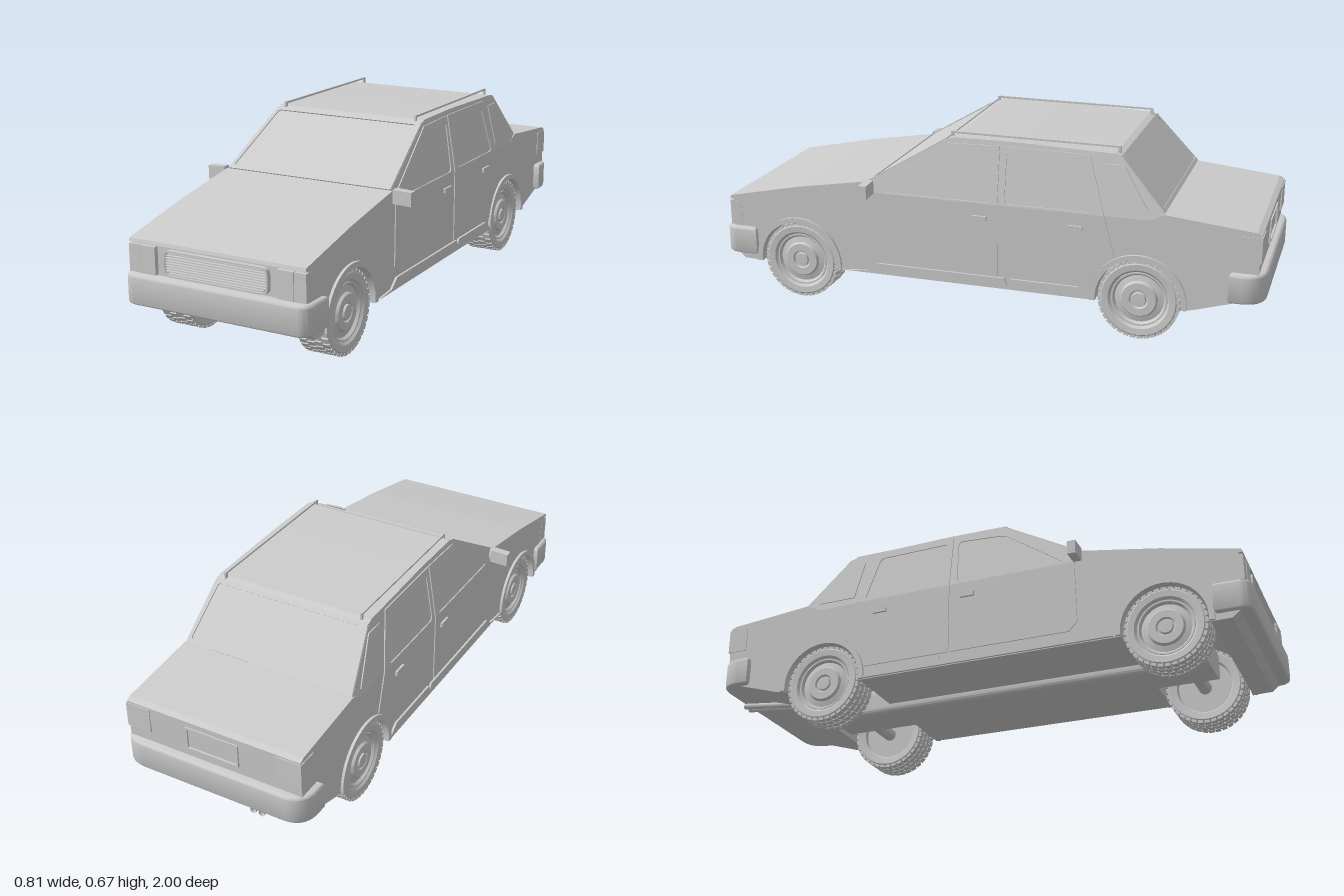
import * as THREE from 'three';
import { mergeGeometries, toCreasedNormals } from 'three/addons/utils/BufferGeometryUtils.js';

const mat = new THREE.MeshStandardMaterial({ color: 0xcccccc });
const BELT = 0.44, LEAN = 0.163, HALF = 0.331;
const AXLES = [0.705, -0.57], WHEEL_Y = 0.144;

const mesh = (name, geo, parent) => {
  const m = new THREE.Mesh(geo, mat);
  m.name = name;
  parent.add(m);
  return m;
};
const path = (pts, Type = THREE.Shape) => new Type(pts.map(([a, b]) => new THREE.Vector2(a, b)));
const box = (w, h, d, x, y, z) => new THREE.BoxGeometry(w, h, d).translate(x, y, z);

// Flat plate in the x-y plane, centred on its thickness
function plate(pts, depth, hole) {
  const shape = path(pts);
  if (hole) shape.holes.push(path(hole, THREE.Path));
  return new THREE.ExtrudeGeometry(shape, { depth, bevelEnabled: false }).translate(0, 0, -depth / 2);
}
// Plate drawn in side elevation (z, y), thickness along x
const sidePlate = (pts, depth, hole) => plate(pts, depth, hole).rotateY(-Math.PI / 2);

// Lean everything above the belt line inwards, towards the roof
function lean(geo, side) {
  const p = geo.attributes.position;
  for (let i = 0; i < p.count; i++) {
    const s = side || Math.sign(p.getX(i));
    p.setX(i, p.getX(i) - s * Math.max(0, p.getY(i) - BELT) * LEAN);
  }
  geo.computeVertexNormals();
  return geo;
}
// Arc around an axle, in side elevation
function arc(z, r, from, to, n = 20) {
  return Array.from({ length: n + 1 }, (_, i) => {
    const a = from + (to - from) * i / n;
    return [z + r * Math.cos(a), WHEEL_Y + r * Math.sin(a)];
  });
}
// Polygon with rounded corners
function rounded(pts, r) {
  const v = pts.map(([x, y]) => new THREE.Vector2(x, y));
  return v.flatMap((c, i) => {
    const toward = (q) => c.clone().add(q.clone().sub(c).setLength(r));
    const a = toward(v[(i + v.length - 1) % v.length]), b = toward(v[(i + 1) % v.length]);
    return new THREE.QuadraticBezierCurve(a, c, b).getPoints(5).map((q) => [q.x, q.y]);
  });
}
const rect = (x0, x1, y0, y1) => [[x0, y0], [x1, y0], [x1, y1], [x0, y1]];

function bumper(halfWidth, height, length, corner) {
  const b = 0.012, w = halfWidth - b, d = length - b;
  const s = new THREE.Shape();
  s.moveTo(-w, 0);
  s.lineTo(-w, d - corner);
  s.quadraticCurveTo(-w, d, -w + corner, d);
  s.lineTo(w - corner, d);
  s.quadraticCurveTo(w, d, w, d - corner);
  s.lineTo(w, 0);
  const geo = new THREE.ExtrudeGeometry(s, {
    depth: height - 2 * b, bevelSize: b, bevelThickness: b, bevelSegments: 4, curveSegments: 10,
  });
  return toCreasedNormals(geo.translate(0, 0, b).rotateX(Math.PI / 2), 0.6);
}

function wheel(side) {
  const g = new THREE.Group();
  const lathe = (pts) => toCreasedNormals(
    new THREE.LatheGeometry(pts.map(([r, y]) => new THREE.Vector2(r, y)), 48).rotateZ(-side * Math.PI / 2), 0.5);
  mesh('tyre', lathe([[0, -0.042], [0.098, -0.042], [0.104, -0.052], [0.13, -0.056], [0.138, -0.05],
    [0.138, 0.05], [0.13, 0.056], [0.108, 0.054], [0.1, 0.046], [0.098, 0.034], [0, 0.034]]), g);
  mesh('rim', lathe([[0.099, 0.03], [0.099, 0.047], [0.093, 0.047], [0.086, 0.037], [0.066, 0.042],
    [0.06, 0.051], [0.034, 0.051], [0.03, 0.045], [0.026, 0.045], [0.024, 0.053], [0, 0.054]]), g);
  // Four rows of tread blocks
  const blocks = [];
  for (let row = 0; row < 4; row++) {
    for (let i = 0; i < 36; i++) {
      blocks.push(box(0.024, 0.01, 0.019, (row - 1.5) * 0.028, 0.1385, 0)
        .rotateX((i + (row % 2) * 0.3) * Math.PI / 18));
    }
  }
  mesh('tread', mergeGeometries(blocks), g);
  return g;
}

export function createModel() {
  const car = new THREE.Group();
  car.name = 'car';

  // Lower body with wheel arches cut through
  const arch = (z, r) => arc(z, r, Math.PI + 0.1, -0.1);
  mesh('lowerBody', sidePlate([
    [0.965, 0.36], [0.98, 0.362], [0.976, 0.373], [0.7, 0.432], [0.42, 0.48], [0.38, BELT], [-0.6, BELT],
    [-0.65, 0.465], [-0.96, 0.434], [-0.978, 0.425], [-0.97, 0.2], [-0.76, 0.135],
    ...arch(AXLES[1], 0.153), ...arch(AXLES[0], 0.153), [0.93, 0.13], [0.965, 0.16],
  ], HALF * 2), car);

  // Cabin
  mesh('cabin', lean(sidePlate([
    [0.42, 0.48], [0.13, 0.653], [0.11, 0.66], [-0.1, 0.662], [-0.47, 0.652], [-0.49, 0.645],
    [-0.65, 0.465], [-0.6, BELT], [0.38, BELT],
  ], HALF * 2)), car);

  // Windscreen and rear window surrounds
  const screen = (name, z0, y0, z1, y1) => {
    const h = Math.hypot(z1 - z0, y1 - y0);
    const w0 = HALF - (y0 - BELT) * LEAN, w1 = HALF - (y1 - BELT) * LEAN;
    const quad = (e) => [[-w0 + e, e], [w0 - e, e], [w1 - e, h - e], [-w1 + e, h - e]];
    const geo = plate(quad(0.001), 0.008, rounded(quad(0.016), 0.012));
    mesh(name, geo, car).position.set(0, y0, z0);
    geo.rotateX(Math.atan2(z1 - z0, y1 - y0));
  };
  screen('windscreenFrame', 0.42, 0.48, 0.13, 0.653);
  screen('rearWindowFrame', -0.65, 0.465, -0.49, 0.645);

  // Sides
  for (const s of [1, -1]) {
    const sideGroup = new THREE.Group();
    sideGroup.name = s > 0 ? 'leftSide' : 'rightSide';
    car.add(sideGroup);
    const panel = (name, pts, hole, out = 0.004) =>
      mesh(name, lean(sidePlate(pts, out * 2, hole).translate(s * HALF, 0, 0), s), sideGroup);

    panel('frontDoor', [[0.4, BELT], [0.405, 0.21], [0.375, 0.178], [-0.064, 0.178], [-0.064, BELT]]);
    panel('frontWindowFrame', [[0.4, BELT], [0.395, 0.462], [0.125, 0.64], [-0.064, 0.645], [-0.064, BELT]],
      rounded([[0.365, 0.445], [0.13, 0.617], [-0.05, 0.628], [-0.042, 0.445]], 0.02));
    panel('rearDoor', [[-0.072, BELT], [-0.072, 0.178], [-0.39, 0.178],
      ...arc(AXLES[1], 0.172, 0.2, 1.05, 8), [-0.445, BELT]]);
    panel('rearWindowFrameSide', [[-0.072, BELT], [-0.072, 0.645], [-0.385, 0.642], [-0.445, BELT]],
      rounded([[-0.09, 0.447], [-0.09, 0.627], [-0.365, 0.622], [-0.41, 0.447]], 0.02));
    const quarter = [[-0.445, 0.605], [-0.465, 0.475], [-0.58, 0.475], [-0.498, 0.605]];
    panel('quarterWindowFrame', [[-0.43, 0.617], [-0.457, 0.465], [-0.6, 0.465], [-0.504, 0.617]],
      rounded(quarter, 0.012));
    panel('sill', [[0.53, 0.132], [0.435, 0.14], [0.395, 0.172], [-0.09, 0.172], [-0.1, 0.15],
      [-0.11, 0.172], [-0.36, 0.172], [-0.4, 0.14], [-0.41, 0.132]], null, 0.008);

    for (const z of [0.0, -0.345]) {
      mesh('doorHandle', box(0.014, 0.016, 0.052, s * 0.336, 0.388, z), sideGroup);
    }
    for (const z of AXLES) {
      mesh('wheelArch', toCreasedNormals(sidePlate(
        [...arc(z, 0.169, Math.PI + 0.08, -0.08, 28), ...arc(z, 0.15, -0.08, Math.PI + 0.08, 28)], 0.03)
        .translate(s * 0.326, 0, 0), 0.5), sideGroup);
      const w = wheel(s);
      w.name = z > 0 ? 'frontWheel' : 'rearWheel';
      w.position.set(s * 0.268, WHEEL_Y, z);
      sideGroup.add(w);
    }

    // Door mirror
    mesh('mirrorArm', box(0.03, 0.02, 0.016, s * 0.335, 0.455, 0.41), sideGroup);
    mesh('mirror', plate([[0.336, 0.438], [0.404, 0.435], [0.404, 0.484], [0.336, 0.487]]
      .map(([x, y]) => [s * x, y]), 0.03).translate(0, 0, 0.413), sideGroup);

    // Roof rail with end posts
    mesh('roofRail', sidePlate([[0.125, 0.65], [0.125, 0.675], [-0.485, 0.672], [-0.485, 0.64],
      [-0.475, 0.64], [-0.475, 0.666], [0.115, 0.668], [0.115, 0.65]], 0.008)
      .translate(s * 0.266, 0, 0), sideGroup);

    // Lamps
    mesh('headlamp', box(0.059, 0.094, 0.03, s * 0.258, 0.308, 0.966), sideGroup);
    mesh('indicator', box(0.043, 0.094, 0.045, s * 0.3105, 0.308, 0.957), sideGroup);
    mesh('tailLamp', box(0.092, 0.09, 0.075, s * 0.288, 0.373, -0.943), sideGroup);
  }

  // Grille
  mesh('grilleFrame', plate(rounded(rect(-0.196, 0.196, 0.264, 0.352), 0.024), 0.024,
    rounded(rect(-0.19, 0.19, 0.27, 0.346), 0.02)).translate(0, 0, 0.97), car);
  for (let i = 0; i < 9; i++) {
    const w = i === 0 || i === 8 ? 0.355 : 0.384;
    mesh('grilleSlat', box(w, 0.004, 0.022, 0, 0.274 + i * 0.0085, 0.969), car);
  }

  // Bumpers
  mesh('frontBumper', bumper(0.348, 0.105, 0.115, 0.035), car).position.set(0, 0.258, 0.885);
  const rear = mesh('rearBumper', bumper(0.355, 0.105, 0.11, 0.075), car);
  rear.position.set(0, 0.288, -0.89);
  rear.rotation.y = Math.PI;

  // Number plate recess surround
  mesh('plateSurround', plate(rect(-0.1, 0.1, 0.318, 0.405), 0.02, rect(-0.093, 0.093, 0.325, 0.398))
    .translate(0, 0, -0.972), car);

  // Underside: tunnel, axles and exhaust
  mesh('tunnel', new THREE.ExtrudeGeometry(path(rounded(rect(-0.087, 0.087, 0.097, 0.2), 0.026)),
    { depth: 1.45, bevelEnabled: false }).translate(0, 0, -0.66), car);
  for (const z of AXLES) {
    mesh('axle', new THREE.CylinderGeometry(0.024, 0.024, 0.46, 20).rotateZ(Math.PI / 2), car)
      .position.set(0, 0.138, z);
  }
  for (const x of [-0.15, -0.182]) {
    const curve = new THREE.LineCurve3(new THREE.Vector3(x, 0.14, -0.74), new THREE.Vector3(x, 0.168, -0.985));
    const pipe = mesh('exhaustPipe', new THREE.TubeGeometry(curve, 1, 0.011, 14), car);
    pipe.material = new THREE.MeshStandardMaterial({ color: 0xcccccc, side: THREE.DoubleSide });
  }
  return car;
}
